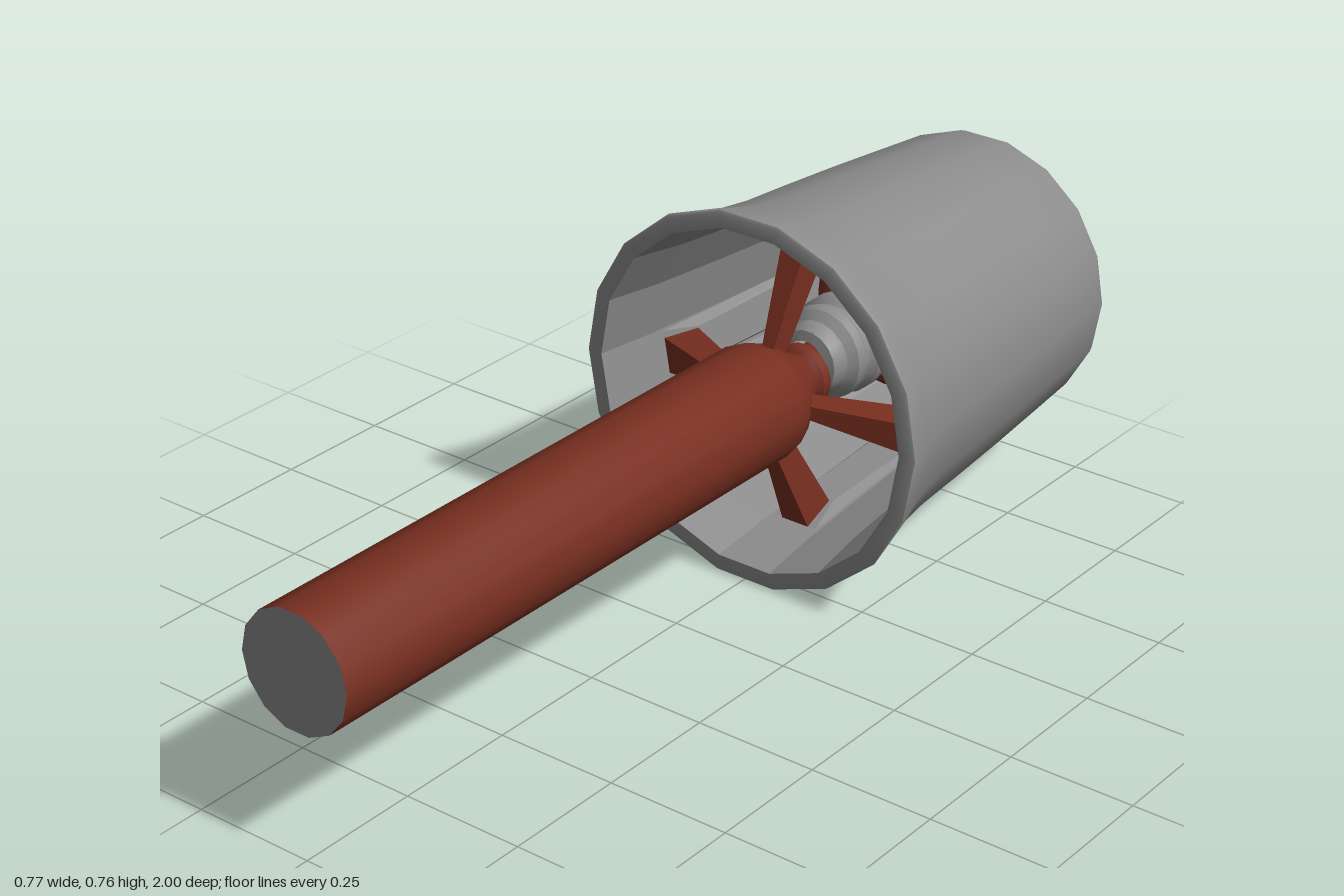
import * as THREE from 'three';
import { toCreasedNormals } from 'three/addons/utils/BufferGeometryUtils.js';

const AXIS_Y = 0.38;
const grey = new THREE.MeshStandardMaterial({ color: 0x8c8c8c });
const greyFlat = new THREE.MeshStandardMaterial({ color: 0x8c8c8c, flatShading: true });
const rust = new THREE.MeshStandardMaterial({ color: 0x782f20 });
const rustFlat = new THREE.MeshStandardMaterial({ color: 0x782f20, flatShading: true });

// Turned part along z; profile is [radius, z] with z rising on outer faces
function turned(name, profile, sides, material, x, y) {
  const points = profile.map(([r, z]) => new THREE.Vector2(r, z));
  const lathe = new THREE.LatheGeometry(points, sides, Math.PI / 2).rotateX(Math.PI / 2);
  const mesh = new THREE.Mesh(toCreasedNormals(lathe, 0.6), material);
  mesh.name = name;
  mesh.position.set(x, y, 0);
  return mesh;
}

// Beam between two rectangular ends; each end is {p: centre, w: half width, d: half depth in z}
function beam(name, a, b, material) {
  const dir = new THREE.Vector2(b.p[0] - a.p[0], b.p[1] - a.p[1]).normalize();
  const geo = new THREE.BoxGeometry(2, 2, 2);
  const pos = geo.attributes.position;
  for (let i = 0; i < pos.count; i++) {
    const end = pos.getY(i) > 0 ? b : a;
    const side = pos.getX(i) * end.w;
    pos.setXYZ(i, end.p[0] + dir.y * side, end.p[1] - dir.x * side, end.p[2] + pos.getZ(i) * end.d);
  }
  geo.computeVertexNormals();
  const mesh = new THREE.Mesh(geo, material);
  mesh.name = name;
  return mesh;
}

// Rail on the inner wall with a ramped front, flush with the wall at the rear
function rail(angle) {
  const geo = new THREE.BoxGeometry(2, 2, 2);
  const pos = geo.attributes.position;
  for (let i = 0; i < pos.count; i++) {
    const front = pos.getZ(i) > 0, inner = pos.getY(i) < 0;
    const radius = front ? (inner ? 0.295 : 0.334) : (inner ? 0.266 : 0.274);
    const half = inner ? (front ? 0.036 : 0.042) : 0.056;
    const z = front ? (inner ? -0.45 : -0.34) : -0.97;
    pos.setXYZ(i, pos.getX(i) * half, radius, z);
  }
  geo.computeVertexNormals();
  const mesh = new THREE.Mesh(geo, greyFlat);
  mesh.name = 'ductRail';
  mesh.rotation.z = angle;
  mesh.position.y = AXIS_Y;
  return mesh;
}

export function createModel() {
  const model = new THREE.Group();
  model.name = 'ductedThruster';

  // Duct: smooth flared shell, faceted inside
  const shell = [
    [0.27, -0.99], [0.277, -1], [0.289, -1], [0.295, -0.985], [0.307, -0.85], [0.32, -0.7],
    [0.331, -0.55], [0.339, -0.43], [0.351, -0.34], [0.366, -0.28], [0.384, -0.222],
    [0.383, -0.213], [0.377, -0.21], [0.349, -0.21]
  ];
  model.add(turned('ductShell', shell, 18, grey, 0, AXIS_Y));
  const lining = [[0.349, -0.21], [0.33, -0.34], [0.315, -0.5], [0.294, -0.75], [0.27, -0.99]];
  model.add(turned('ductLining', lining, 18, greyFlat, 0, AXIS_Y));

  // Shaft with a tapered rear shoulder and narrow neck
  const sx = -0.005, sy = 0.368;
  const shaft = [
    [0.05, -0.6], [0.05, -0.41], [0.065, -0.4], [0.065, -0.38], [0.055, -0.37],
    [0.07, -0.335], [0.1, -0.295], [0.118, -0.25], [0.118, 1]
  ];
  model.add(turned('shaft', shaft, 14, rust, sx, sy));
  model.add(turned('shaftEndCap', [[0.118, 1], [0, 1]], 14, grey, sx, sy));

  // Stacked collar rings between the neck and the rear bulb
  const collar = [
    [0.06, -0.69], [0.085, -0.575], [0.095, -0.555], [0.1, -0.53], [0.1, -0.51], [0.088, -0.495],
    [0.088, -0.485], [0.095, -0.475], [0.092, -0.455], [0.075, -0.44], [0.072, -0.425], [0.065, -0.41], [0.045, -0.405]
  ];
  model.add(turned('collarRings', collar, 18, grey, sx, 0.39));

  // Rear bulb: a ball whose front rolls into a shallow dimple around the collar
  const bulb = [];
  for (let i = 0; i <= 16; i++) {
    const a = (i / 16) * 2.23;
    bulb.push([0.19 * Math.sin(a), -0.77 - 0.19 * Math.cos(a)]);
  }
  bulb.push([0.132, -0.643], [0.115, -0.645], [0.1, -0.657], [0.088, -0.675], [0.05, -0.69]);
  model.add(turned('rearBulb', bulb, 32, rust, -0.006, 0.404));

  // Four flared spokes, swept back from the shaft shoulder
  const spokes = [
    [[0, 0.42], [0, 0.705]],
    [[0, 0.315], [0, 0.055]],
    [[0.045, 0.374], [0.32, 0.323]],
    [[-0.055, 0.374], [-0.32, 0.323]]
  ];
  for (const [root, tip] of spokes) {
    model.add(beam('spoke',
      { p: [...root, -0.28], w: 0.009, d: 0.025 },
      { p: [...tip, -0.42], w: tip[0] ? 0.037 : 0.031, d: 0.045 }, rustFlat));
  }

  // Rails carrying the spoke tips
  for (const angle of [0, Math.PI, Math.PI / 2 + 0.17, -Math.PI / 2 - 0.17]) model.add(rail(angle));

  return model;
}
